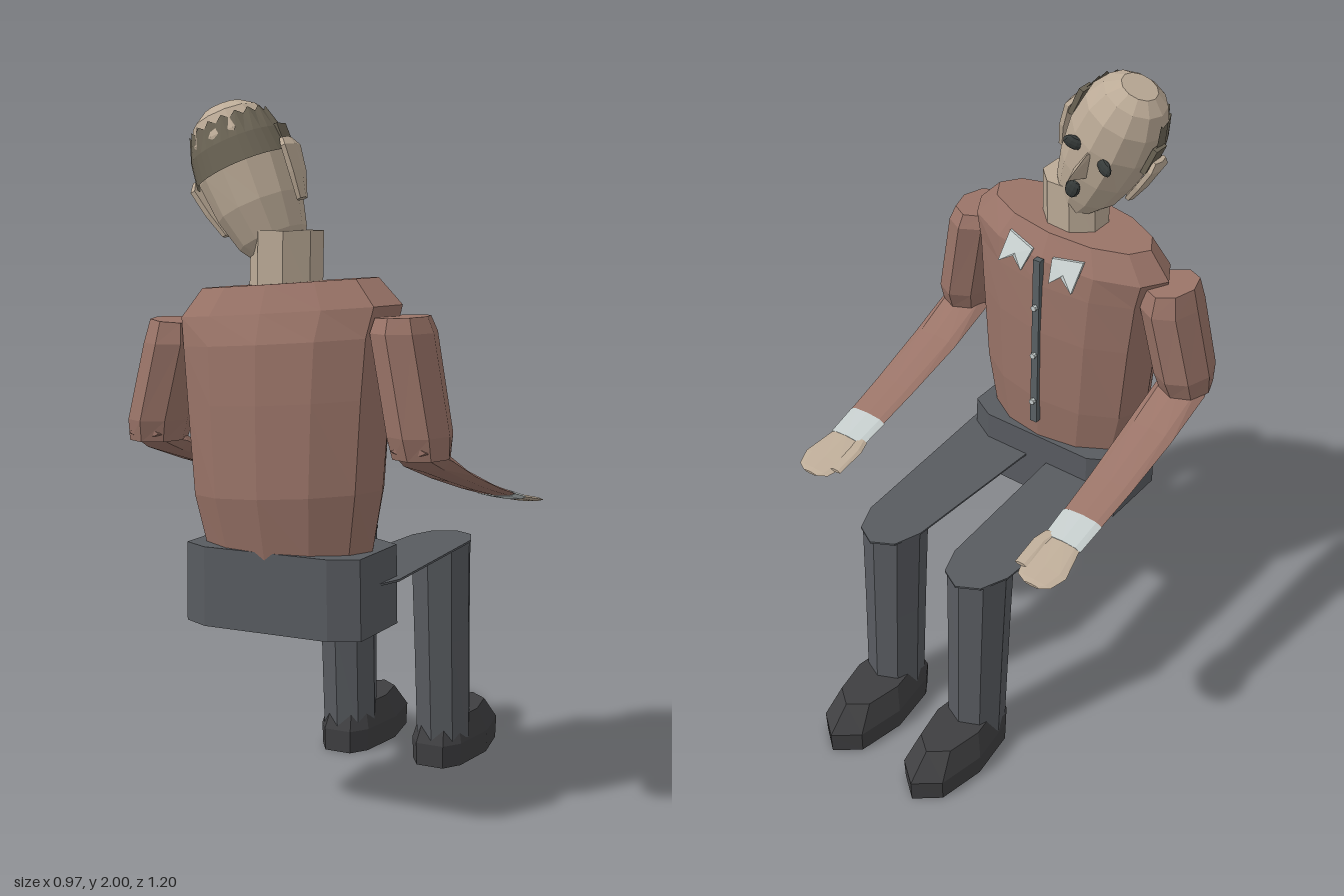
import * as THREE from 'three';

const mat = (color) => new THREE.MeshStandardMaterial({ color, flatShading: true, side: THREE.DoubleSide });
const M = {
  jacket: mat(0x9a7468), trousers: mat(0x585b60), shoe: mat(0x3f3f41), skin: mat(0xbcab97),
  white: mat(0xc4cccb), hair: mat(0x6b6455), dark: mat(0x363b3a), strip: mat(0x596164),
};

// Closed loft through rings of equal point count; winding is fixed from the signed volume.
function loft(rings) {
  const n = rings[0].length, tris = [];
  const mid = (r) => r.reduce((s, p) => s.map((v, i) => v + p[i] / n), [0, 0, 0]);
  const first = rings[0], last = rings[rings.length - 1];
  const c0 = mid(first), c1 = mid(last);
  for (let j = 0; j < n; j++) {
    const k = (j + 1) % n;
    tris.push([c0, first[k], first[j]], [c1, last[j], last[k]]);
    for (let i = 0; i + 1 < rings.length; i++) {
      const a = rings[i], b = rings[i + 1];
      tris.push([a[j], a[k], b[k]], [a[j], b[k], b[j]]);
    }
  }
  const o = new THREE.Vector3(...c0);
  const vec = (p) => new THREE.Vector3(...p).sub(o);
  const vol = tris.reduce((s, [a, b, c]) => s + vec(a).dot(vec(b).cross(vec(c))), 0);
  if (vol < 0) tris.forEach((t) => t.reverse());
  const g = new THREE.BufferGeometry();
  g.setAttribute('position', new THREE.Float32BufferAttribute(tris.flat(2), 3));
  g.computeVertexNormals();
  return g;
}

// Horizontal elliptical ring; tilt raises the +x side.
function ring(y, cx, cz, rx, rz, n = 8, tilt = 0, start = 0) {
  return Array.from({ length: n }, (_, i) => {
    const a = start + (i / n) * Math.PI * 2, x = cx + rx * Math.cos(a);
    return [x, y + tilt * x, cz + rz * Math.sin(a)];
  });
}
const flatRing = (pts, y) => pts.map(([x, z]) => [x, y, z]);

function add(parent, name, geometry, material) {
  const mesh = new THREE.Mesh(geometry, material);
  mesh.name = name;
  parent.add(mesh);
  return mesh;
}

function buildHead() {
  const head = new THREE.Group();
  head.name = 'head';
  head.position.set(-0.11, 1.78, 0.42);
  head.rotation.z = 0.41;
  // y, half width, half depth, z shift
  const profile = [[-0.215, 0.06, 0.07, -0.015], [-0.16, 0.097, 0.095, -0.005], [-0.07, 0.122, 0.118, 0],
    [0.04, 0.136, 0.126, 0], [0.13, 0.126, 0.121, 0], [0.19, 0.096, 0.095, 0], [0.218, 0.055, 0.055, 0]];
  add(head, 'skull', loft(profile.map(([y, rx, rz, z]) => ring(y, 0, z, rx, rz, 12))), M.skin);

  // Hair wraps the back from ear to ear with a ragged upper edge
  const hair = new THREE.CylinderGeometry(0.114, 0.145, 0.14, 20, 2, true, -1.75, 3.5);
  const p = hair.attributes.position;
  for (let i = 0; i < p.count; i++) {
    if (p.getY(i) > 0.05 && i % 2) p.setY(i, 0.055);
    if (Math.abs(p.getY(i)) < 0.01) { p.setX(i, p.getX(i) * 1.05); p.setZ(i, p.getZ(i) * 1.05); }
    p.setZ(i, p.getZ(i) * 0.93);
  }
  add(head, 'hair', hair, M.hair).position.y = 0.105;

  for (const s of [-1, 1]) {
    add(head, 'sideburn', new THREE.BoxGeometry(0.016, 0.09, 0.05), M.hair).position.set(s * 0.135, 0.065, -0.01);
    add(head, 'ear', loft([ring(-0.1, s * 0.126, 0, 0.012, 0.022, 6), ring(-0.03, s * 0.142, 0, 0.015, 0.042, 6),
      ring(0.04, s * 0.153, 0.005, 0.014, 0.05, 6), ring(0.065, s * 0.147, 0.005, 0.01, 0.03, 6)]), M.skin);
    const eye = add(head, 'eye', new THREE.SphereGeometry(1, 10, 6), M.dark);
    eye.scale.set(0.032, 0.021, 0.013);
    eye.position.set(s * 0.056, 0.02, -0.117);
    eye.rotation.y = s * 0.4;
  }
  const mouth = add(head, 'mouth', new THREE.SphereGeometry(1, 10, 6), M.dark);
  mouth.scale.set(0.024, 0.031, 0.012);
  mouth.position.set(0, -0.115, -0.112);
  // Wedge nose
  add(head, 'nose', loft([[[-0.024, -0.055, -0.11], [0.024, -0.055, -0.11], [0, -0.05, -0.178]],
    [[-0.008, 0.03, -0.118], [0.008, 0.03, -0.118], [0, 0.028, -0.132]]]), M.skin);
  return head;
}

function buildArm(s) {
  const arm = new THREE.Group();
  arm.name = s > 0 ? 'leftArm' : 'rightArm';
  const top = s > 0 ? 1.425 : 1.375;
  add(arm, 'upperArm', loft([
    ring(top, s * 0.345, 0.425, 0.07, 0.095, 8, s * 0.06 - 0.03),
    ring(top - 0.03, s * 0.348, 0.425, 0.085, 0.115),
    ring(1.13, s * 0.4, 0.435, 0.085, 0.11),
    ring(1.07, s * 0.407, 0.44, 0.078, 0.09),
  ]), M.jacket);
  // Flattened cross-sections along the reach: z, y, x, half width, half thickness
  const sections = (list, n = 8) => loft(list.map(([z, y, x, w, t]) =>
    Array.from({ length: n }, (_, i) => {
      const a = (i / n) * Math.PI * 2;
      return [s * x + w * Math.cos(a), y + t * Math.sin(a), z];
    })));
  add(arm, 'forearm', sections([[0.52, 1.095, 0.405, 0.05, 0.01], [0.42, 1.065, 0.403, 0.08, 0.036],
    [0.25, 0.998, 0.402, 0.078, 0.02], [0.05, 0.934, 0.402, 0.07, 0.013], [-0.1, 0.893, 0.401, 0.064, 0.01]]), M.jacket);
  add(arm, 'cuff', sections([[-0.085, 0.897, 0.4, 0.067, 0.013], [-0.185, 0.871, 0.4, 0.063, 0.011]]), M.white);
  add(arm, 'hand', sections([[-0.175, 0.874, 0.405, 0.052, 0.009], [-0.28, 0.849, 0.408, 0.073, 0.009],
    [-0.33, 0.84, 0.408, 0.055, 0.007], [-0.345, 0.837, 0.41, 0.025, 0.004]]), M.skin);
  add(arm, 'thumb', sections([[-0.17, 0.876, 0.355, 0.022, 0.007], [-0.21, 0.869, 0.344, 0.023, 0.008],
    [-0.305, 0.85, 0.344, 0.02, 0.005]], 6), M.skin);
  return arm;
}

function buildLeg(s) {
  const leg = new THREE.Group();
  leg.name = s > 0 ? 'leftLeg' : 'rightLeg';
  // Thin thigh spanning from hip to knee
  const thigh = [[0.16, 0.51], [0.25, 0.46], [0.292, 0.33], [0.26, -0.25], [0.225, -0.335],
    [0.16, -0.37], [0.095, -0.335], [0.065, -0.25], [0.034, 0.33], [0.07, 0.46]].map(([x, z]) => [s * x, z]);
  add(leg, 'thigh', loft([flatRing(thigh, 0.705), flatRing(thigh, 0.711)]), M.trousers);
  add(leg, 'shin', loft([ring(0.08, s * 0.163, -0.275, 0.085, 0.095, 8), ring(0.4, s * 0.162, -0.262, 0.088, 0.1, 8),
    ring(0.71, s * 0.161, -0.25, 0.094, 0.105, 8)]), M.trousers);
  // Shoe outline, reused at three heights
  const sole = [[0, -0.6], [0.075, -0.54], [0.104, -0.39], [0.083, -0.23], [0.045, -0.175],
    [-0.045, -0.175], [-0.083, -0.23], [-0.104, -0.39], [-0.075, -0.54]];
  const shoeRing = (y, k, kz) => flatRing(sole.map(([x, z]) => [s * 0.16 + x * k, -0.3 + (z + 0.3) * kz]), y);
  add(leg, 'shoe', loft([shoeRing(0, 0.97, 0.99), shoeRing(0.07, 1, 1), shoeRing(0.145, 0.76, 0.74)]), M.shoe);
  return leg;
}

export function createModel() {
  const model = new THREE.Group();
  model.name = 'seatedFigure';

  // Torso leans slightly, so its +x side sits higher: y, half width, z centre, half depth
  const torso = [[0.78, 0.25, 0.41, 0.15], [0.95, 0.285, 0.42, 0.178], [1.2, 0.305, 0.42, 0.182],
    [1.36, 0.32, 0.42, 0.177], [1.44, 0.338, 0.412, 0.16], [1.515, 0.27, 0.415, 0.125]];
  add(model, 'jacket', loft(torso.map(([y, rx, z, rz]) => ring(y, 0, z, rx, rz, 12, 0.075))), M.jacket);

  const hip = [[0.27, 0.52], [0.19, 0.56], [-0.19, 0.56], [-0.27, 0.52],
    [-0.27, 0.295], [-0.19, 0.25], [0.19, 0.25], [0.27, 0.295]];
  add(model, 'pelvis', loft([flatRing(hip, 0.578), flatRing(hip.map(([x, z]) => [x * 0.99, z]), 0.8)]), M.trousers);

  add(model, 'neck', loft([ring(1.49, -0.005, 0.42, 0.1, 0.097, 8, 0, Math.PI / 8),
    ring(1.655, 0, 0.42, 0.098, 0.1, 8, 0, Math.PI / 8)]), M.skin);
  model.add(buildHead());

  // Front strip with small studs
  add(model, 'buttonStrip', new THREE.BoxGeometry(0.024, 0.58, 0.02), M.strip).position.set(0, 1.16, 0.24);
  for (const y of [0.95, 1.12, 1.29]) {
    const stud = add(model, 'button', new THREE.CylinderGeometry(0.009, 0.009, 0.014, 8), M.white);
    stud.rotation.x = Math.PI / 2;
    stud.position.set(0, y, 0.225);
  }

  for (const s of [-1, 1]) {
    // Folded collar wing
    const wing = [[0.035, 1.46, 0.268], [0.13, 1.475, 0.288], [0.13, 1.4, 0.228], [0.085, 1.43, 0.24], [0.05, 1.4, 0.23]];
    add(model, 'collarWing', loft([0, 0.01].map((d) => wing.map(([x, y, z]) => [s * x, y + s * x * 0.07, z - d]))), M.white);
    model.add(buildArm(s), buildLeg(s));
  }
  return model;
}
